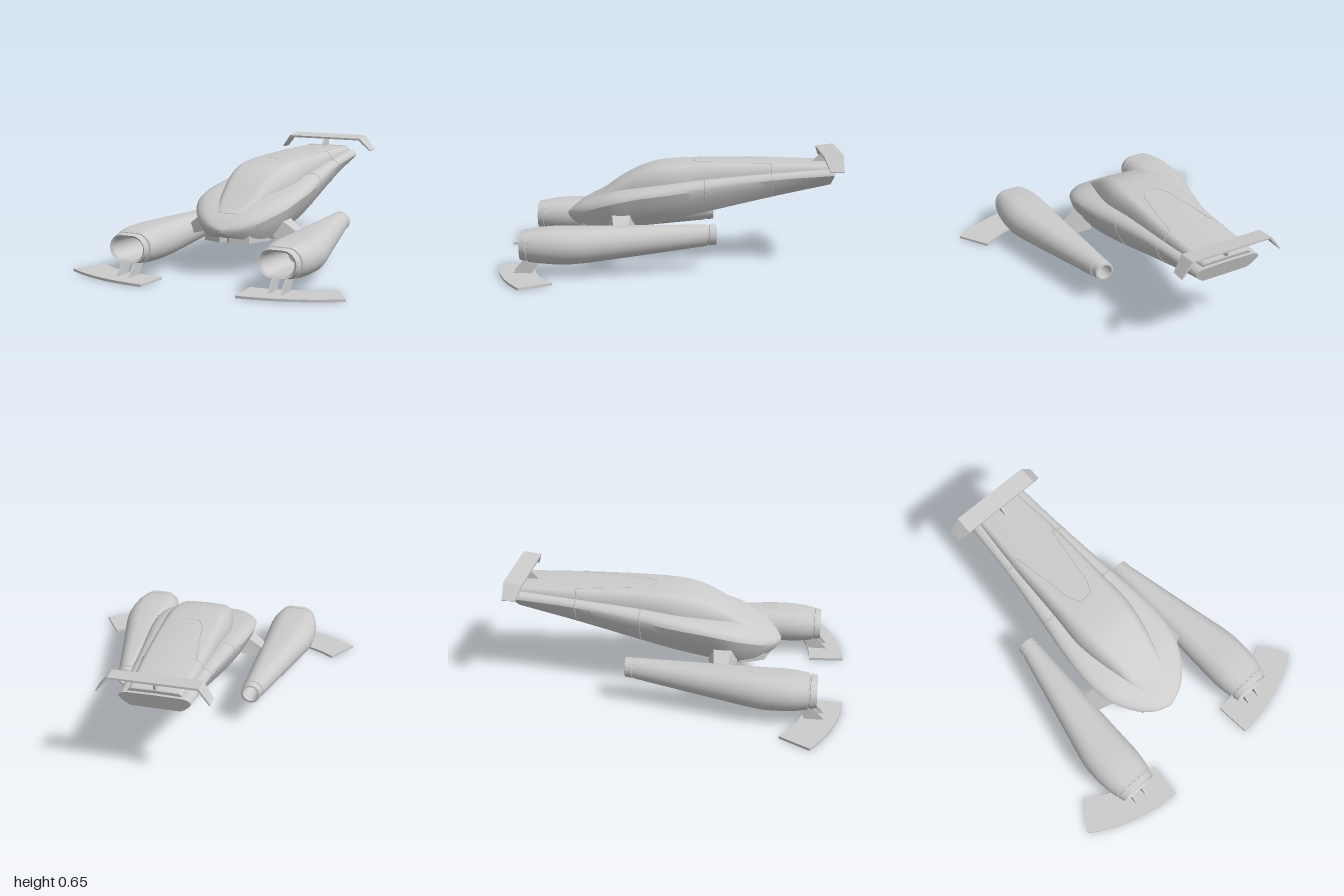
import * as THREE from 'three';
import { toCreasedNormals } from 'three/addons/utils/BufferGeometryUtils.js';

const material = new THREE.MeshStandardMaterial({ color: 0xcccccc, side: THREE.DoubleSide });

// Skin a list of closed rings (running from +z to -z) and cap both ends.
function loft(rings, crease = 0.6) {
  const n = rings[0].length, pos = [], index = [];
  rings.forEach(r => r.forEach(p => pos.push(p.x, p.y, p.z)));
  for (let i = 0; i < rings.length - 1; i++) {
    for (let j = 0; j < n; j++) {
      const k = (j + 1) % n, a = i * n + j, b = i * n + k, c = a + n, d = b + n;
      index.push(a, c, b, b, c, d);
    }
  }
  [0, rings.length - 1].forEach(i => {
    const m = rings[i].reduce((s, p) => s.add(p), new THREE.Vector3()).divideScalar(n);
    const centre = pos.length / 3;
    pos.push(m.x, m.y, m.z);
    for (let j = 0; j < n; j++) {
      const a = i * n + j, b = i * n + (j + 1) % n;
      if (i === 0) index.push(centre, a, b); else index.push(centre, b, a);
    }
  });
  const g = new THREE.BufferGeometry();
  g.setAttribute('position', new THREE.Float32BufferAttribute(pos, 3));
  g.setIndex(index);
  return toCreasedNormals(g, crease);
}

// Smoothly resample rings along the length.
function smoothRings(rings, steps) {
  const rails = rings[0].map((_, j) => new THREE.CatmullRomCurve3(rings.map(r => r[j]), false, 'centripetal'));
  return Array.from({ length: steps + 1 }, (_, i) => rails.map(c => c.getPoint(i / steps)));
}

// Complete a right-hand half outline (bottom centre to top centre) into a ring.
function mirrorRing(half, z, slant = 0) {
  const y0 = half[0][1];
  const full = half.concat(half.slice(1, -1).reverse().map(([x, y]) => [-x, y]));
  return full.map(([x, y]) => new THREE.Vector3(x, y, z - slant * (y - y0)));
}

// Quarter-ellipse points from a wide low point to a narrow high point.
const shoulder = (w, y0, wt, y1, n) => Array.from({ length: n + 1 }, (_, i) => {
  const t = (i / n) * Math.PI / 2;
  return [wt + (w - wt) * Math.cos(t), y0 + (y1 - y0) * Math.sin(t)];
});

// Rows: z, bottom y, bottom half width, widest half width and y, deck half width and y
const hullRows = [
  [0.62, 0.255, 0.005, 0.012, 0.265, 0.006, 0.275], [0.59, 0.235, 0.06, 0.095, 0.275, 0.06, 0.3],
  [0.54, 0.215, 0.11, 0.165, 0.295, 0.1, 0.335], [0.47, 0.2, 0.16, 0.225, 0.325, 0.13, 0.37],
  [0.35, 0.19, 0.2, 0.285, 0.365, 0.18, 0.415], [0.2, 0.222, 0.21, 0.305, 0.4, 0.21, 0.445],
  [0, 0.265, 0.215, 0.296, 0.425, 0.22, 0.475], [-0.2, 0.31, 0.205, 0.27, 0.45, 0.21, 0.5],
  [-0.59, 0.395, 0.17, 0.225, 0.5, 0.18, 0.535], [-0.94, 0.465, 0.14, 0.2, 0.525, 0.15, 0.56]];
const hullRing = ([z, yb, wb, w, ym, ws, ys]) => mirrorRing([
  [0, yb], [wb, yb],
  ...[0.33, 0.67].map(t => [wb + (w - wb) * (t + 0.12), yb + (ym - yb) * t]),
  ...shoulder(w, ym, ws, ys, 5), [0, ys + 0.003]], z, z < -0.9 ? 0.3 : 0);

// Rows: z, base y, base half width, top y, top half width
const canopyRows = [
  [0.515, 0.335, 0.07, 0.352, 0.055], [0.4, 0.385, 0.118, 0.415, 0.075], [0.3, 0.415, 0.145, 0.482, 0.09],
  [0.2, 0.435, 0.172, 0.535, 0.1], [0.1, 0.45, 0.192, 0.568, 0.11], [0, 0.465, 0.202, 0.582, 0.12],
  [-0.2, 0.49, 0.192, 0.588, 0.135], [-0.59, 0.525, 0.178, 0.586, 0.135], [-0.94, 0.55, 0.15, 0.58, 0.125]];
const canopyRing = ([z, yb, wb, yt, wt]) => mirrorRing(
  [[0, yb - 0.02], [wb, yb - 0.02], ...shoulder(wb, yb, wt, yt, 6), [0, yt + 0.002]], z, z < -0.9 ? 0.25 : 0);

// Rows: z, inner x, outer x, bottom y, top y; from the intake throat round the shell to the exhaust
const engineRows = [
  [0.55, 0.39, 0.535, 0.11, 0.225], [0.84, 0.365, 0.56, 0.105, 0.232], [0.852, 0.352, 0.575, 0.092, 0.245],
  [0.815, 0.342, 0.588, 0.085, 0.252], [0.813, 0.348, 0.582, 0.091, 0.246], [0.805, 0.348, 0.582, 0.091, 0.246],
  [0.803, 0.338, 0.592, 0.082, 0.254], [0.74, 0.326, 0.607, 0.075, 0.263], [0.66, 0.32, 0.615, 0.07, 0.27],
  [0.56, 0.32, 0.615, 0.07, 0.27], [0.48, 0.32, 0.602, 0.075, 0.27], [0.2, 0.32, 0.537, 0.103, 0.27],
  [-0.21, 0.32, 0.443, 0.148, 0.27], [-0.212, 0.325, 0.437, 0.154, 0.264], [-0.22, 0.325, 0.437, 0.154, 0.264],
  [-0.222, 0.32, 0.44, 0.15, 0.27], [-0.262, 0.321, 0.436, 0.154, 0.269], [-0.265, 0.333, 0.424, 0.166, 0.257],
  [-0.1, 0.34, 0.418, 0.172, 0.25]];
const engineRing = ([z, x0, x1, y0, y1]) => Array.from({ length: 40 }, (_, i) => {
  const a = ((i + 0.5) / 40) * Math.PI * 2, r = (y1 - y0) / 2, flat = Math.max(0, (x1 - x0) / 2 - r);
  const rx = Math.min(r, (x1 - x0) / 2);
  return new THREE.Vector3((x0 + x1) / 2 + Math.cos(a) * rx + Math.sign(Math.cos(a)) * flat,
    (y0 + y1) / 2 + Math.sin(a) * r, z);
});

const shapeOf = pts => new THREE.Shape(pts.map(([x, y]) => new THREE.Vector2(x, y)));
const extrude = (shape, depth) => new THREE.ExtrudeGeometry(shape, { depth, bevelEnabled: false, curveSegments: 16 });
// Flat plate drawn in (x, z)
const plate = (shape, top, depth) => extrude(shape, depth).rotateX(Math.PI / 2).translate(0, top, 0);
// Thin upright plate drawn in (z, y)
const upright = (pts, x, t) => extrude(shapeOf(pts), t).rotateY(-Math.PI / 2).translate(x + t / 2, 0, 0);

// Apply a rule to every vertex.
function reshape(g, rule) {
  const p = g.attributes.position, v = new THREE.Vector3();
  for (let i = 0; i < p.count; i++) {
    rule(v.fromBufferAttribute(p, i));
    p.setXYZ(i, v.x, v.y, v.z);
  }
  return toCreasedNormals(g, 0.4);
}

// Mirror across x = 0, turning the faces back outward.
function mirrored(g) {
  const m = (g.index ? g.toNonIndexed() : g.clone()).scale(-1, 1, 1);
  for (const name of ['position', 'normal']) {
    const a = m.attributes[name], p = new THREE.Vector3(), q = new THREE.Vector3();
    for (let i = 0; i < a.count; i += 3) {
      p.fromBufferAttribute(a, i + 1);
      q.fromBufferAttribute(a, i + 2);
      a.setXYZ(i + 1, q.x, q.y, q.z);
      a.setXYZ(i + 2, p.x, p.y, p.z);
    }
  }
  return m;
}

// Thin panel line following a polyline.
function seam(points, closed) {
  const path = new THREE.CurvePath(), all = closed ? [...points, points[0]] : points;
  for (let i = 0; i < all.length - 1; i++) path.add(new THREE.LineCurve3(all[i], all[i + 1]));
  return new THREE.TubeGeometry(path, 120, 0.004, 5, false);
}

export function createModel() {
  const model = new THREE.Group();
  const add = (name, g) => {
    const mesh = new THREE.Mesh(g, material);
    mesh.name = name;
    model.add(mesh);
  };
  const addPair = (name, g) => {
    add(name + 'Left', g);
    add(name + 'Right', mirrored(g));
  };

  // Body
  add('hull', loft(smoothRings(hullRows.map(hullRing), 60), 0.5));
  add('canopyAndSpine', loft(smoothRings(canopyRows.map(canopyRing), 60), 0.5));
  add('chinIntake', plate(shapeOf([[-0.2, 0.3], [0.2, 0.3], [0.2, 0.4], [0.14, 0.53], [0.03, 0.56],
    [0, 0.53], [-0.03, 0.56], [-0.14, 0.53], [-0.2, 0.4]]), 0.24, 0.05));

  // Panel lines, the front one with a notch in the canopy
  [7, 8].forEach(i => {
    add('hullSeam', seam(hullRing(hullRows[i]), true));
    const over = canopyRing(canopyRows[i]).slice(2, 16);
    if (i === 7) {
      const notch = [[0.075, -0.2], [0.04, -0.135], [-0.04, -0.135], [-0.075, -0.2]];
      over.splice(7, 1, ...notch.map(([x, z]) => new THREE.Vector3(x, 0.588, z)));
    }
    add('spineSeam', seam(over, false));
  });

  // Engines and their arms
  addPair('engine', loft(engineRows.map(engineRing), 0.45));
  addPair('engineArm', reshape(new THREE.BoxGeometry(1, 1, 1), v => {
    const outer = v.x > 0, up = v.y > 0;
    v.z = 0.29 + v.z * (outer ? 0.08 : up ? 0.12 : 0.17);
    v.y = outer ? (up ? 0.235 : 0.175) : (up ? 0.335 : 0.21);
    v.x = outer ? 0.35 : 0.22;
  }));

  // Curved front blades on pairs of struts
  const blade = new THREE.Shape();
  blade.moveTo(0.29, 1);
  blade.quadraticCurveTo(0.6, 0.985, 0.845, 0.825);
  blade.lineTo(0.73, 0.65);
  blade.quadraticCurveTo(0.55, 0.79, 0.275, 0.79);
  addPair('frontBlade', plate(blade, 0.014, 0.014));
  [0.43, 0.507].forEach(x => addPair('bladeStrut',
    upright([[0.9, 0.01], [0.79, 0.01], [0.73, 0.1], [0.82, 0.1]], x, 0.01)));

  // Rear wing with drooped tips on a thin fin
  const wing = extrude(shapeOf([[-0.315, 0.565], [-0.308, 0.56], [-0.243, 0.643], [0.243, 0.643],
    [0.308, 0.56], [0.315, 0.565], [0.25, 0.655], [-0.25, 0.655]]), 0.11).translate(0, 0, -1);
  add('rearWing', reshape(wing, v => {
    if (Math.abs(v.x) > 0.28) v.z = Math.min(v.z, -0.92);
    else v.y -= (v.z + 1) * 0.12;
  }));
  add('wingFin', upright([[-0.84, 0.575], [-0.95, 0.575], [-0.97, 0.645], [-0.9, 0.635]], 0, 0.012));
  return model;
}
